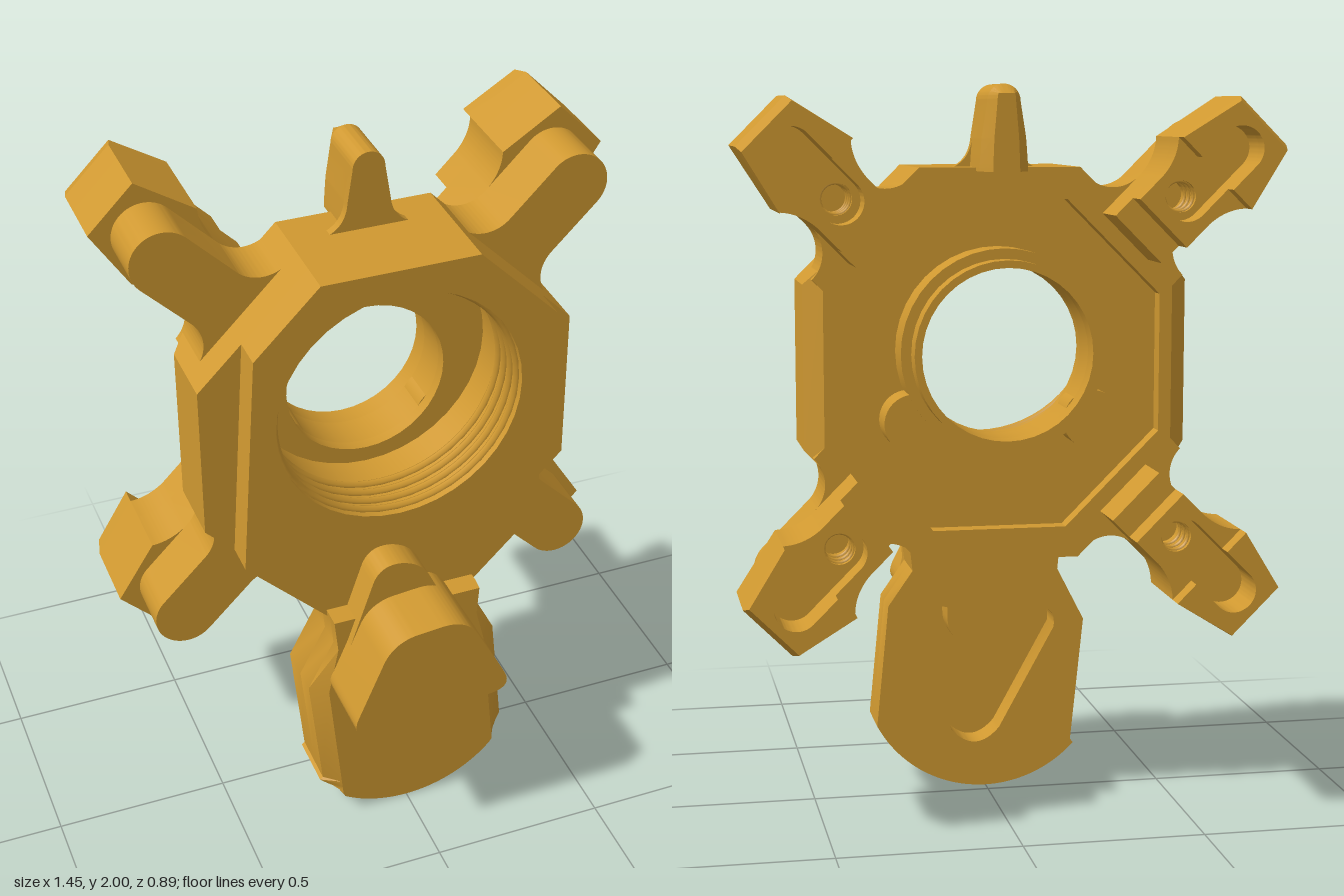
import * as THREE from 'three';
import { toCreasedNormals } from 'three/addons/utils/BufferGeometryUtils.js';

const CY = 1.245; // height of the body centre
const HOLE = { x: 0, y: 1.287, r: 0.232 };
const BORE = { x: 0, y: 1.36, r: 0.35 };

const gold = new THREE.MeshStandardMaterial({ color: 0xcf9830 });
gold.name = 'gold';

// Extrudes a shape between two depths; an optional rule moves its vertices
function slab(parent, name, shape, z0, z1, rule) {
  const geo = new THREE.ExtrudeGeometry(shape, { depth: z1 - z0, bevelEnabled: false, curveSegments: 20 });
  geo.translate(0, 0, z0);
  if (rule) {
    const p = geo.attributes.position;
    const v = new THREE.Vector3();
    for (let i = 0; i < p.count; i++) {
      rule(v.fromBufferAttribute(p, i));
      p.setXYZ(i, v.x, v.y, v.z);
    }
  }
  const mesh = new THREE.Mesh(toCreasedNormals(geo, 0.6), gold);
  mesh.name = name;
  parent.add(mesh);
  return mesh;
}

const poly = (pts) => new THREE.Shape(pts.map(([x, y]) => new THREE.Vector2(x, y)));

function disc(x, y, r) {
  const s = new THREE.Shape();
  s.absarc(x, y, r, 0, Math.PI * 2);
  return s;
}

// Polygon with rounded corners
function rounded(pts, r) {
  const s = new THREE.Shape();
  const P = pts.map(([x, y]) => new THREE.Vector2(x, y));
  P.forEach((c, i) => {
    const toward = (q) => c.clone().add(q.clone().sub(c).setLength(r));
    const a = toward(P[(i + P.length - 1) % P.length]);
    const b = toward(P[(i + 1) % P.length]);
    if (i) s.lineTo(a.x, a.y); else s.moveTo(a.x, a.y);
    s.quadraticCurveTo(c.x, c.y, b.x, b.y);
  });
  s.closePath();
  return s;
}

function withHole(shape, hole) {
  shape.holes.push(hole);
  return shape;
}

const bore = () => disc(BORE.x, BORE.y, BORE.r);
const hole = () => disc(HOLE.x, HOLE.y, HOLE.r);

function octagon(k = 1) {
  const a = 0.53 * k, b = 0.22 * k, c = 0.535 * k, d = 0.225 * k;
  return poly([[-b, c], [-a, d], [-a, -d], [-b, -c], [b, -c], [a, -d], [a, d], [b, c]].map(([x, y]) => [x, y + CY]));
}

function buildBody() {
  const g = new THREE.Group();
  g.name = 'body';
  const face = poly([[-0.22, 1.78], [-0.405, 1.595], [-0.45, 0.94], [-0.22, 0.71],
    [0.22, 0.71], [0.41, 0.9], [0.445, 1.555], [0.22, 1.78]]);
  slab(g, 'frontPlate', withHole(face, bore()), 0.08, 0.175);
  slab(g, 'bodyShell', withHole(octagon(), bore()), -0.09, 0.08);
  slab(g, 'boreFloor', withHole(octagon(), hole()), -0.125, -0.09);
  // Rear rim, chamfered along both flanks
  slab(g, 'rearRim', withHole(octagon(), octagon(0.84)), -0.175, -0.125, (v) => {
    if (v.z < -0.17 && Math.abs(v.x) > 0.5) {
      v.x -= 0.05 * Math.sign(v.x);
      v.y += 0.05 * Math.sign(v.y - CY);
    }
  });
  // Collar around the rear opening
  slab(g, 'collarFlange', withHole(disc(HOLE.x, HOLE.y, 0.28), hole()), -0.23, -0.125);
  slab(g, 'collar', withHole(disc(HOLE.x, HOLE.y, 0.252), hole()), -0.29, -0.23);
  for (const s of [-1, 1]) {
    // Lug beside the collar, trimmed along the hole
    const lug = new THREE.Shape();
    lug.absarc(s * 0.245, 1.1, 0.08, 0, Math.PI * 2);
    slab(g, 'collarLug', lug, -0.229, -0.125);
  }
  // Thread ridges inside the bore
  for (let i = 0; i < 4; i++) {
    const ridge = new THREE.Mesh(new THREE.TorusGeometry(0.348, 0.012, 6, 64), gold);
    ridge.name = 'threadRidge';
    ridge.position.set(BORE.x, BORE.y, 0.145 - i * 0.04);
    g.add(ridge);
  }
  return g;
}

// One arm, built along +x from the body centre
function buildArm(angle) {
  const g = new THREE.Group();
  g.name = 'arm';
  g.position.y = CY;
  g.rotation.z = angle;

  // Neck with concave fillets and a round tip
  const neck = new THREE.Shape();
  neck.moveTo(0.45, -0.19);
  neck.lineTo(0.53, -0.19);
  neck.absarc(0.63, -0.19, 0.1, Math.PI, Math.PI / 2, true);
  neck.absarc(0.81, 0, 0.09, -Math.PI / 2, Math.PI / 2);
  neck.absarc(0.63, 0.19, 0.1, -Math.PI / 2, -Math.PI, true);
  neck.lineTo(0.45, 0.19);
  slab(g, 'armNeck', neck, -0.175, -0.01);

  // Foot plan, starting at a chosen inner end
  const footPlan = (u) => {
    const s = new THREE.Shape();
    s.moveTo(u, -0.09);
    s.lineTo(0.64, -0.09);
    s.quadraticCurveTo(0.7, -0.094, 0.74, -0.132);
    s.lineTo(0.932, -0.09);
    s.lineTo(0.932, 0.09);
    s.lineTo(0.74, 0.132);
    s.quadraticCurveTo(0.7, 0.094, 0.64, 0.09);
    s.lineTo(u, 0.09);
    s.closePath();
    return s;
  };
  const slot = new THREE.Shape();
  slot.absarc(0.83, 0, 0.06, -Math.PI / 2, Math.PI / 2);
  slot.absarc(0.645, 0, 0.06, Math.PI / 2, Math.PI * 1.5);
  slab(g, 'footBase', withHole(footPlan(0.49), disc(0.65, 0, 0.042)), -0.32, -0.175);
  slab(g, 'footWall', withHole(footPlan(0.555), slot), -0.4, -0.32);

  // Open lip at the end of the foot
  const lip = new THREE.Shape();
  lip.moveTo(0.74, -0.132);
  lip.lineTo(0.932, -0.09);
  lip.lineTo(0.932, 0.09);
  lip.lineTo(0.74, 0.132);
  lip.lineTo(0.74, 0.06);
  lip.absarc(0.83, 0, 0.06, Math.PI / 2, -Math.PI / 2, true);
  lip.lineTo(0.74, -0.06);
  slab(g, 'footLip', lip, -0.45, -0.4, (v) => {
    if (v.z < -0.44 && v.x > 0.9) v.x -= 0.018;
  });

  // Thread rings in the screw hole
  for (let i = 0; i < 3; i++) {
    const ring = new THREE.Mesh(new THREE.TorusGeometry(0.042, 0.007, 5, 24), gold);
    ring.name = 'screwThread';
    ring.position.set(0.65, 0, -0.3 + i * 0.04);
    g.add(ring);
  }
  return g;
}

function buildTail() {
  const g = new THREE.Group();
  g.name = 'tail';
  const outline = () => {
    const s = new THREE.Shape();
    s.moveTo(-0.22, 0.73);
    s.lineTo(-0.21, 0.63);
    s.lineTo(-0.287, 0.48);
    s.lineTo(-0.25, 0.12);
    s.absarc(0, 0.355, 0.355, -2.387, -0.483);
    s.lineTo(0.28, 0.54);
    s.lineTo(0.21, 0.64);
    s.lineTo(0.22, 0.73);
    s.closePath();
    return s;
  };
  // Heart-shaped pocket in the rear
  const pocket = new THREE.Shape();
  pocket.moveTo(-0.2, 0.46);
  pocket.lineTo(-0.04, 0.17);
  pocket.quadraticCurveTo(0.03, 0.09, 0.1, 0.17);
  pocket.lineTo(0.22, 0.48);
  pocket.quadraticCurveTo(0.22, 0.56, 0.11, 0.53);
  pocket.absarc(0.01, 0.5, 0.1, 0, -Math.PI, true);
  pocket.quadraticCurveTo(-0.21, 0.55, -0.2, 0.46);
  slab(g, 'tailRear', withHole(outline(), pocket), 0.04, 0.13);
  slab(g, 'tailCore', outline(), 0.13, 0.2);
  // Front face with both long edges chamfered
  slab(g, 'tailFront', outline(), 0.2, 0.24, (v) => {
    if (v.z < 0.23) return;
    const axis = 0.018 + (0.3 - v.y) * 0.097;
    v.x = axis + THREE.MathUtils.clamp(v.x - axis, -0.24, 0.24);
  });
  // Boss and knob on the front
  slab(g, 'boss', rounded([[-0.235, 0.5], [0.2, 0.53], [0.025, 0.9], [-0.095, 0.92]], 0.065), 0.1, 0.265);
  slab(g, 'knob', rounded([[-0.255, 0.485], [0.24, 0.525], [0.09, 0.815], [-0.125, 0.795]], 0.075), 0.2, 0.445);
  return g;
}

function buildNub() {
  const g = new THREE.Group();
  g.name = 'topNub';
  const profile = (base) => {
    const s = new THREE.Shape();
    s.moveTo(base, 1.77);
    s.quadraticCurveTo(0.066, 1.785, 0.06, 1.86);
    s.lineTo(0.045, 1.955);
    s.absarc(0, 1.955, 0.045, 0, Math.PI);
    s.lineTo(-0.06, 1.86);
    s.quadraticCurveTo(-0.066, 1.785, -base, 1.77);
    s.closePath();
    return s;
  };
  slab(g, 'nubFlare', profile(0.14), -0.085, -0.06);
  slab(g, 'nubStem', profile(0.066), -0.225, -0.085);
  // Rounded rear end
  slab(g, 'nubEnd', profile(0.066), -0.265, -0.225, (v) => {
    if (v.z < -0.26) {
      v.x *= 0.55;
      v.y = Math.min(v.y, 1.975);
    }
  });
  return g;
}

export function createModel() {
  const model = new THREE.Group();
  model.name = 'bracket';
  model.add(buildBody(), buildTail(), buildNub());
  for (let i = 0; i < 4; i++) model.add(buildArm(Math.PI / 4 + (i * Math.PI) / 2));
  return model;
}
